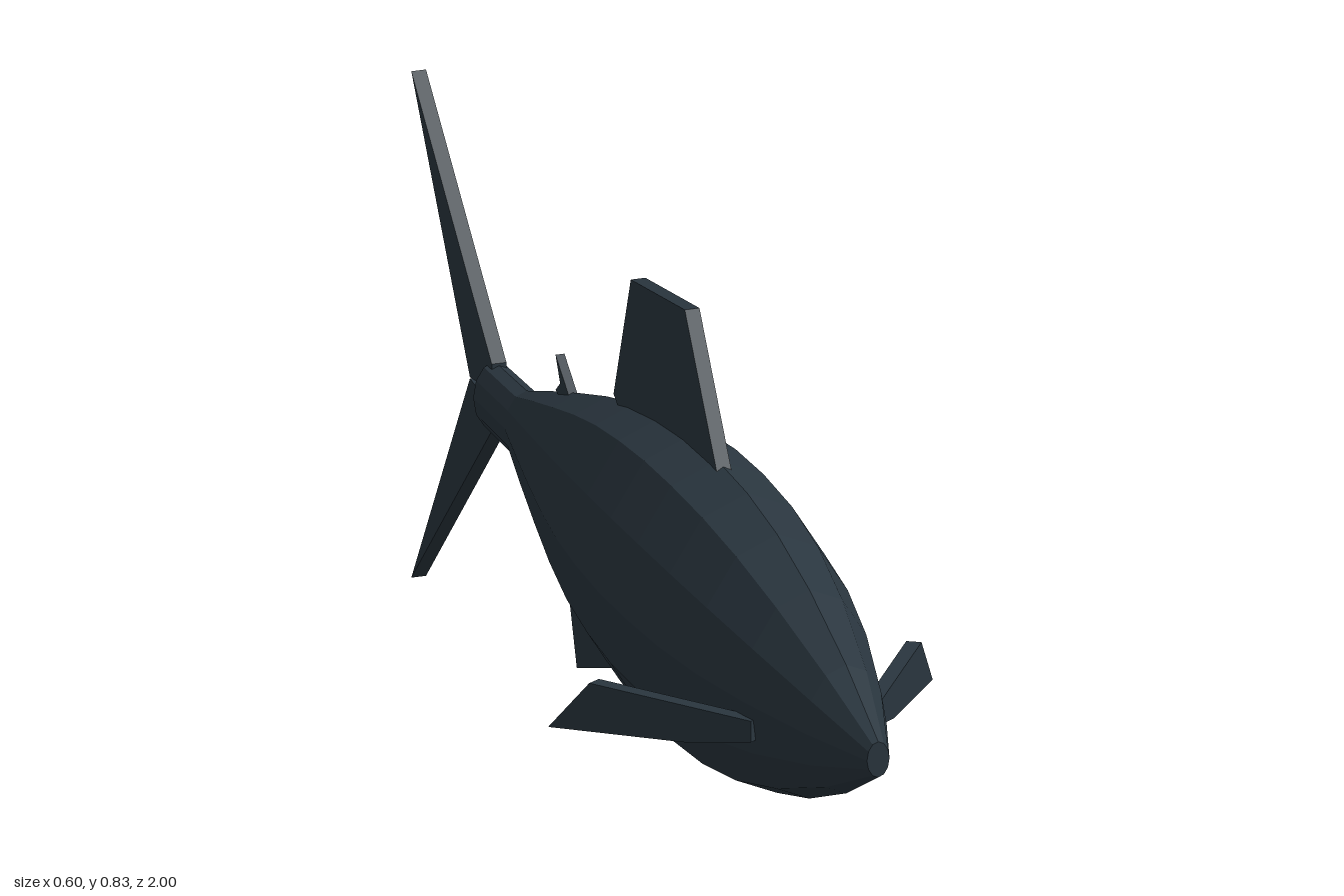
import * as THREE from 'three';

export function createModel() {
  const fish = new THREE.Group();
  fish.name = 'fish';
  const skin = new THREE.MeshStandardMaterial({ color: 0x2a363f, flatShading: true });
  skin.name = 'dark slate skin';

  const add = (name, geometry) => {
    const mesh = new THREE.Mesh(geometry, skin);
    mesh.name = name;
    fish.add(mesh);
    return mesh;
  };

  const plate = (points, depth) => new THREE.ExtrudeGeometry(
    new THREE.Shape(points.map(([a, b]) => new THREE.Vector2(a, b))),
    { depth, bevelEnabled: false });

  // Upright fin on the centre line, outlined in (z, y)
  const midFin = (name, points, depth = 0.023) =>
    add(name, plate(points, depth).translate(0, 0, -depth / 2).rotateY(-Math.PI / 2));

  // Spindle body with tail stem: [z, half height], twelve-sided and narrow
  const profile = [
    [-0.67, 0], [-0.67, 0.053], [-0.53, 0.055], [-0.42, 0.092], [-0.3, 0.13],
    [-0.18, 0.166], [-0.06, 0.196], [0.06, 0.216], [0.18, 0.228], [0.3, 0.23],
    [0.43, 0.223], [0.56, 0.203], [0.7, 0.164], [0.86, 0.101], [1, 0.028], [1, 0],
  ];
  const body = new THREE.LatheGeometry(profile.map(([z, r]) => new THREE.Vector2(r, z)), 12);
  body.rotateX(Math.PI / 2).scale(0.63, 1, 1).translate(0, 0.398, 0);
  add('body', body);

  // Centre-line fins
  midFin('dorsalFin', [[0.33, 0.62], [0.19, 0.828], [-0.045, 0.795], [-0.12, 0.59], [-0.06, 0.55], [0.25, 0.55]]);
  midFin('analFin', [[0, 0.2], [-0.28, 0.105], [-0.335, 0.27], [-0.2, 0.29], [-0.05, 0.25]]);
  midFin('upperFinlet', [[-0.32, 0.51], [-0.385, 0.56], [-0.365, 0.522], [-0.385, 0.505], [-0.34, 0.49]], 0.014);
  midFin('lowerFinlet', [[-0.32, 0.287], [-0.385, 0.238], [-0.365, 0.275], [-0.385, 0.292], [-0.34, 0.306]], 0.014);

  // Crescent tail in two blades
  midFin('upperTailFin', [[-0.65, 0.455], [-1, 0.795], [-0.745, 0.402], [-0.65, 0.412]]);
  midFin('lowerTailFin', [[-0.65, 0.35], [-1, 0], [-0.745, 0.4], [-0.65, 0.388]]);

  // Pectoral fins, swept back from the cheeks
  const sweep = 1.01, thick = 0.023;
  const outline = [[-0.02, 0.375], [0.283, 0.367], [0.36, 0.281], [0.09, 0.316], [-0.02, 0.342]];
  for (const side of [1, -1]) {
    const fin = plate(outline, thick);
    if (side > 0) fin.translate(0, 0, -thick).rotateY(sweep);
    else fin.rotateY(Math.PI - sweep);
    add(side > 0 ? 'leftPectoralFin' : 'rightPectoralFin', fin.translate(side * 0.11, 0, 0.705));
  }
  return fish;
}
